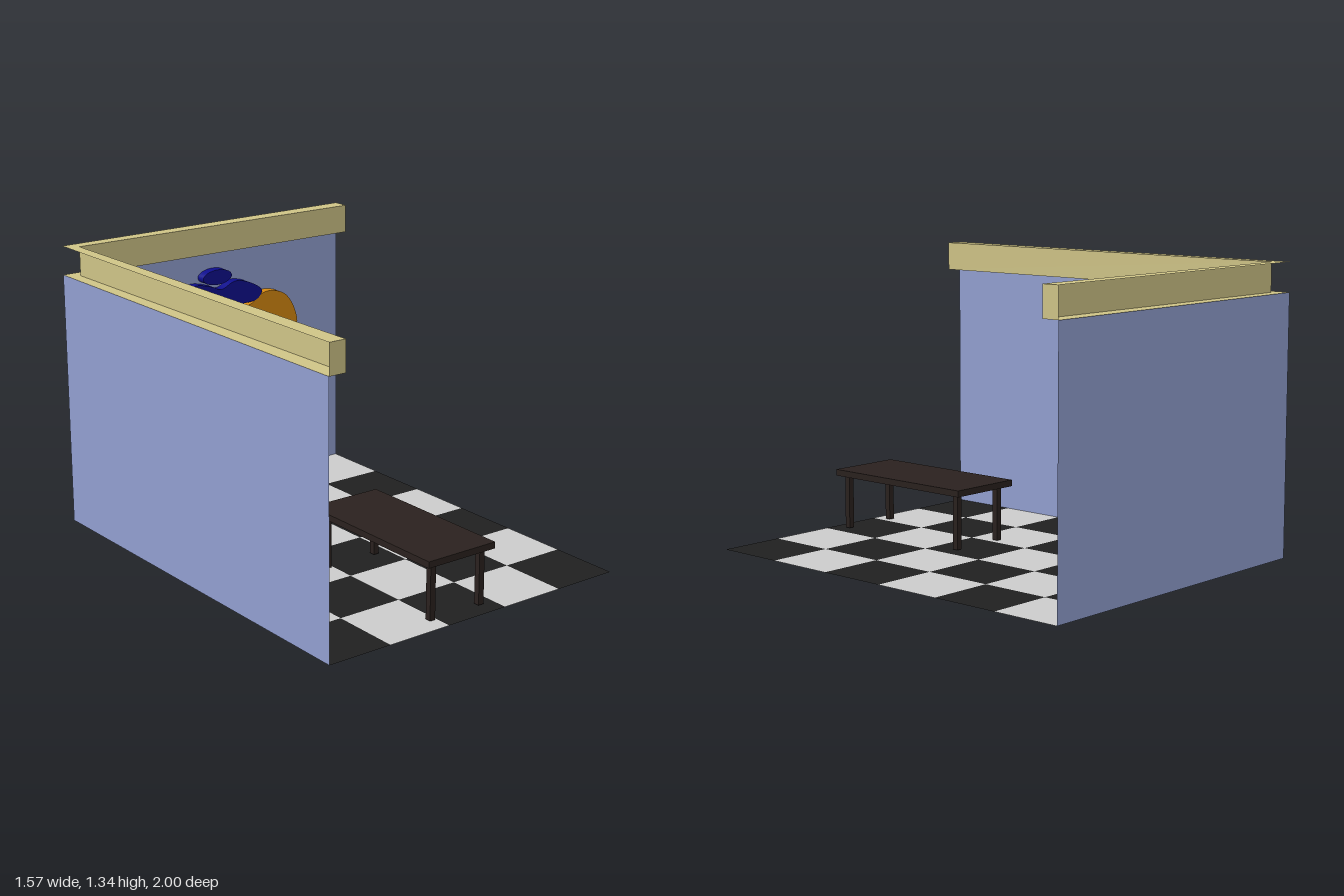
import * as THREE from 'three';

const mat = (color, extra = {}) => new THREE.MeshStandardMaterial({ color, side: THREE.DoubleSide, ...extra });
const M = {
  grey: mat(0xcccccc), black: mat(0x202020), frame: mat(0x0c0c0c), wall: mat(0x929fd0), trim: mat(0xcfc487),
  navy: mat(0x0e0e8c), orange: mat(0xd58811), wood: mat(0x2a211e), blue: mat(0x379ad4), hatch: mat(0x14202f),
  clay: mat(0x7d381e), soil: mat(0x301510), leaf: mat(0x1a2a1a), bottle: mat(0x3048c8), label: mat(0xd01848),
};

function add(parent, name, geometry, material, x = 0, y = 0, z = 0) {
  const mesh = new THREE.Mesh(geometry, material);
  mesh.name = name;
  mesh.position.set(x, y, z);
  parent.add(mesh);
  return mesh;
}

// Box given by its limits on each axis
function box(parent, name, material, [x0, x1], [y0, y1], [z0, z1]) {
  return add(parent, name, new THREE.BoxGeometry(x1 - x0, y1 - y0, z1 - z0), material,
    (x0 + x1) / 2, (y0 + y1) / 2, (z0 + z1) / 2);
}

function group(parent, name) {
  const g = new THREE.Group();
  g.name = name;
  parent.add(g);
  return g;
}

// Rectangle in the side plane, drawn as (-z, y)
function sideRect(z0, z1, y0, y1, Type = THREE.Shape) {
  return new Type([[-z1, y0], [-z0, y0], [-z0, y1], [-z1, y1]].map(p => new THREE.Vector2(...p)));
}

// Side-plane shape pushed along +x, with an optional window
function sidePanel(parent, name, material, x0, depth, outer, hole) {
  const shape = sideRect(...outer);
  if (hole) shape.holes.push(sideRect(...hole, THREE.Path));
  const geo = new THREE.ExtrudeGeometry(shape, { depth, bevelEnabled: false }).rotateY(Math.PI / 2);
  return add(parent, name, geo, material, x0);
}

function buildRoom(root) {
  const room = group(root, 'room');
  // Checkered floor
  for (let i = 0; i < 5; i++) for (let j = 0; j < 6; j++) {
    const tile = new THREE.PlaneGeometry(0.314, 1 / 3).rotateX(-Math.PI / 2);
    add(room, 'floorTile', tile, (i + j) % 2 ? M.black : M.grey, -0.628 + i * 0.314, 0, -5 / 6 + j / 3);
  }
  // Walls
  add(room, 'backWall', new THREE.PlaneGeometry(1.57, 1.2), M.wall, 0, 0.6, -1);
  add(room, 'sideWall', new THREE.PlaneGeometry(2, 1.2).rotateY(Math.PI / 2), M.wall, -0.785, 0.6, 0);

  // Cornice: a channel open towards the outside
  const cornice = group(room, 'cornice');
  const path = [[-0.785, 1], [-0.705, 1], [-0.73, -0.94], [0.785, -0.92], [0.785, -1]];
  const shape = new THREE.Shape([...path, [-0.785, -1]].map(([x, z]) => new THREE.Vector2(x, -z)));
  for (const y of [1.2, 1.335]) {
    add(cornice, 'cornicePlate', new THREE.ShapeGeometry(shape).rotateX(-Math.PI / 2), M.trim, 0, y, 0);
  }
  for (let i = 0; i < path.length - 1; i++) {
    const [ax, az] = path[i], [bx, bz] = path[i + 1];
    const face = new THREE.PlaneGeometry(Math.hypot(bx - ax, bz - az), 0.135);
    face.rotateY(Math.atan2(az - bz, bx - ax));
    add(cornice, 'corniceFace', face, M.trim, (ax + bx) / 2, 1.2675, (az + bz) / 2);
  }
}

function buildWallArt(root) {
  const art = group(root, 'wallArt');
  const piece = (name, shape, material) => add(art, name,
    new THREE.ExtrudeGeometry(shape, { depth: 0.048, bevelEnabled: false, curveSegments: 24 }), material, 0, 0, -0.999);
  const oval = (x, y, rx, ry, turn = 0) => new THREE.Shape().absellipse(x, y, rx, ry, 0, Math.PI * 2, false, turn);
  // Closed smooth outline through points in hundredths of a unit
  const blob = pts => new THREE.Shape(new THREE.CatmullRomCurve3(
    pts.map(([x, y]) => new THREE.Vector3(x / 100, y / 100, 0)), true).getPoints(90).slice(0, -1)
    .map(p => new THREE.Vector2(p.x, p.y)));

  piece('topOval', oval(0.03, 1.074, 0.083, 0.037), M.navy);
  piece('sideOval', oval(-0.33, 0.855, 0.125, 0.073, 0.9), M.navy);
  piece('lowerDisc', oval(0.03, 0.558, 0.122, 0.122), M.orange);
  piece('upperBlob', blob([[-24, 96], [-18, 102], [-10, 105], [0, 103], [5, 101], [13, 104], [22, 102],
    [29, 97], [26, 93], [13, 92], [-1, 91], [-13, 90], [-20, 92]]), M.navy);
  piece('lowerBlob', blob([[-12, 90], [-17, 90], [-22, 85], [-29, 76], [-30, 68], [-25, 63], [-14, 64],
    [5, 68], [13, 63], [24, 62], [33, 64], [37, 71], [35, 77], [28, 83], [20, 84], [13, 81], [11, 76],
    [5, 76], [-4, 83]]), M.navy);
  piece('orangeBlob', blob([[-8, 88], [-4, 91], [7, 92], [15, 91], [22, 91], [28, 95], [34, 96], [43, 93],
    [49, 84], [50, 76], [45, 74], [36, 77], [28, 84], [20, 86], [9, 83], [1, 81], [-6, 83]]), M.orange);
}

function buildBench(root) {
  const bench = group(root, 'bench');
  box(bench, 'benchTop', M.wood, [-0.235, 0.13], [0.26, 0.29], [0.15, 0.955]);
  for (const x of [-0.187, 0.083]) for (const z of [0.2, 0.914]) {
    box(bench, 'benchLeg', M.wood, [x - 0.014, x + 0.014], [0.005, 0.26], [z - 0.014, z + 0.014]);
  }
}

function buildVendingMachine(root) {
  const vm = group(root, 'vendingMachine');
  const opening = [-0.362, 0.035, 0.255, 0.77];
  sidePanel(vm, 'cabinet', M.blue, -0.784, 0.274, [-0.507, 0.051, 0.01, 0.79], opening);
  sidePanel(vm, 'windowFrame', M.frame, -0.51, 0.012, [-0.38, 0.051, 0.24, 0.79], opening);
  // Pale lining of the display bay
  sidePanel(vm, 'bayLining', M.grey, -0.645, 0.133, opening, [-0.359, 0.032, 0.258, 0.767]);
  box(vm, 'bayBack', M.grey, [-0.655, -0.645], [0.255, 0.77], [-0.362, 0.035]);

  // Shelves
  for (const y of [0.65, 0.505, 0.355]) {
    box(vm, 'shelf', M.frame, [-0.645, -0.512], [y - 0.009, y + 0.009], [-0.36, 0.033]);
  }
  // Dispensing coils and bottles
  const coilPts = Array.from({ length: 49 }, (_, i) => {
    const a = i / 12 * Math.PI * 2;
    return new THREE.Vector3(-0.64 + i / 48 * 0.125, Math.cos(a) * 0.031, Math.sin(a) * 0.031);
  });
  const coil = new THREE.TubeGeometry(new THREE.CatmullRomCurve3(coilPts), 96, 0.0035, 5);
  const lathe = pts => new THREE.LatheGeometry(pts.map(p => new THREE.Vector2(...p)), 16);
  const glass = lathe([[0, 0], [0.025, 0], [0.028, 0.012], [0.024, 0.045], [0.026, 0.07],
    [0.012, 0.095], [0.01, 0.118], [0, 0.118]]);
  const label = lathe([[0.0285, 0.022], [0.026, 0.045], [0.0275, 0.068]]);
  for (const z of [-0.038, -0.158, -0.276]) {
    for (const y of [0.547, 0.394, 0.292]) add(vm, 'coil', coil, M.frame, 0, y, z);
    for (const y of [0.515, 0.365]) for (const x of [-0.55, -0.61]) {
      add(vm, 'bottle', glass, M.bottle, x, y, z);
      add(vm, 'bottleLabel', label, M.label, x, y, z);
    }
  }
  // Control panel, coin tray and pick-up hatch
  box(vm, 'controlPanel', M.grey, [-0.512, -0.505], [0.435, 0.6], [-0.5, -0.395]);
  box(vm, 'coinTray', M.grey, [-0.512, -0.502], [0.257, 0.315], [-0.495, -0.4]);
  sidePanel(vm, 'coinTrayFrame', M.frame, -0.512, 0.016, [-0.502, -0.393, 0.25, 0.322], [-0.495, -0.4, 0.257, 0.315]);
  box(vm, 'hatch', M.hatch, [-0.512, -0.506], [0.08, 0.165], [-0.29, -0.038]);
  sidePanel(vm, 'hatchFrame', M.frame, -0.512, 0.012, [-0.298, -0.03, 0.073, 0.172], [-0.288, -0.04, 0.083, 0.162]);
}

function buildPlant(root) {
  const plant = group(root, 'pottedPlant');
  plant.position.set(-0.598, 0, -0.797);
  const ring = pts => new THREE.LatheGeometry(pts.map(p => new THREE.Vector2(...p)), 32);
  add(plant, 'potBase', ring([[0, 0.015], [0.1, 0.015], [0.111, 0.09]]), M.clay);
  add(plant, 'potBand', ring([[0.111, 0.09], [0.123, 0.177]]), M.black);
  add(plant, 'potRim', ring([[0.123, 0.177], [0.135, 0.257], [0.117, 0.257], [0.112, 0.215]]), M.clay);
  add(plant, 'soil', new THREE.CircleGeometry(0.114, 32).rotateX(-Math.PI / 2), M.soil, 0, 0.225, 0);

  // Leaf: a pointed, folded blade bent outward along a curve
  const leaf = (turn, reach, tipY, width) => {
    const curve = new THREE.QuadraticBezierCurve3(new THREE.Vector3(0.01, 0.22, 0),
      new THREE.Vector3(reach * 0.35, 0.22 + (tipY - 0.22) * 0.65, 0), new THREE.Vector3(reach, tipY, 0));
    const geo = new THREE.PlaneGeometry(1, 1, 2, 10);
    const pos = geo.attributes.position;
    for (let i = 0; i < pos.count; i++) {
      const t = pos.getY(i) + 0.5, side = pos.getX(i) * 2;
      const half = width / 2 * Math.sin(Math.PI * (0.15 + 0.85 * t));
      const p = curve.getPoint(t);
      pos.setXYZ(i, p.x, p.y + Math.abs(side) * half * 0.3, side * half);
    }
    geo.computeVertexNormals();
    add(plant, 'leaf', geo, M.leaf).rotation.y = turn;
  };
  leaf(0, 0.11, 0.445, 0.055);
  leaf(Math.PI, 0.07, 0.425, 0.055);
  leaf(0, 0.175, 0.33, 0.04);
  leaf(Math.PI, 0.11, 0.33, 0.04);
  leaf(Math.PI / 2, 0.125, 0.25, 0.04);
  leaf(-Math.PI / 2, 0.13, 0.25, 0.04);
}

export function createModel() {
  const root = new THREE.Group();
  root.name = 'breakRoom';
  for (const build of [buildRoom, buildWallArt, buildBench, buildVendingMachine, buildPlant]) build(root);
  return root;
}
